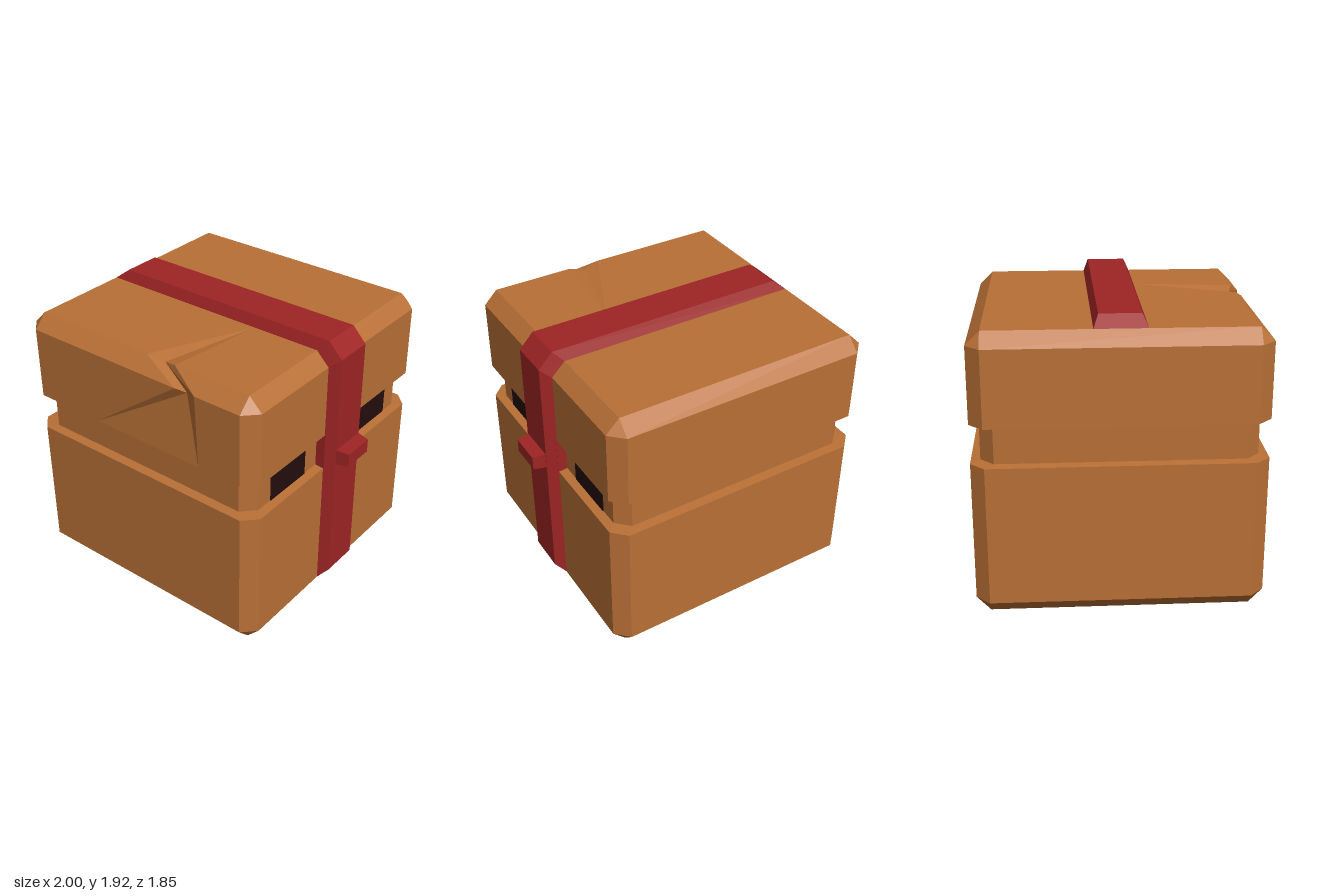
import * as THREE from 'three';

const cardboard = new THREE.MeshStandardMaterial({ color: 0xb97036 });
cardboard.name = 'cardboard brown';
const tape = new THREE.MeshStandardMaterial({ color: 0x9e2424 });
tape.name = 'tape red';
const dark = new THREE.MeshStandardMaterial({ color: 0x240e0e });
dark.name = 'eye dark';

const CX = -0.0775; // the box sits off centre, the nub fills the +x end

// Flat-shaded mesh from outward-facing convex polygons
function faceted(name, polygons, material) {
  const pos = [];
  for (const p of polygons) {
    for (let i = 1; i < p.length - 1; i++) {
      const tri = [p[0], p[i], p[i + 1]].map(v => new THREE.Vector3(...v));
      if (new THREE.Triangle(...tri).getArea() < 1e-7) continue;
      tri.forEach(v => pos.push(v.x, v.y, v.z));
    }
  }
  const g = new THREE.BufferGeometry();
  g.setAttribute('position', new THREE.Float32BufferAttribute(pos, 3));
  g.computeVertexNormals();
  const mesh = new THREE.Mesh(g, material);
  mesh.name = name;
  return mesh;
}

// Square with cut corners at height y; side 0 is the front
function ring(y, h, c) {
  const k = h - c;
  return [[-k, h], [k, h], [h, k], [h, -k], [k, -h], [-k, -h], [-h, -k], [-h, k]]
    .map(([x, z]) => [x + CX, y, z]);
}

function loft(rings, skipFrontFrom = Infinity) {
  const polys = [];
  for (let i = 0; i < rings.length - 1; i++) {
    for (let j = 0; j < 8; j++) {
      if (j === 0 && i >= skipFrontFrom) continue;
      const n = (j + 1) % 8;
      polys.push([rings[i][j], rings[i][n], rings[i + 1][n], rings[i + 1][j]]);
    }
  }
  return polys;
}

function box(name, size, at, material) {
  const mesh = new THREE.Mesh(new THREE.BoxGeometry(...size), material);
  mesh.position.set(...at);
  mesh.name = name;
  return mesh;
}

export function createModel() {
  const model = new THREE.Group();
  const H = 0.9225, C = 0.09, HI = 0.8625, CI = 0.085, HS = H - C;

  // Lower box with bevelled base
  const base = ring(0, HS, 0);
  const lower = loft([base, ring(0.095, H, C), ring(1.013, H, C), ring(1.02, HI, CI)]);
  lower.push([base[7], base[5], base[3], base[1]]);
  model.add(faceted('lowerBox', lower, cardboard));

  // Recessed band between box and lid
  model.add(faceted('recessedBand', loft([ring(1.02, HI, CI), ring(1.26, HI, CI)]), cardboard));

  // Lid: back and sides from rings, front and top around a dented crack
  const rim = ring(1.267, H, C), shoulder = ring(1.76, H, C), top = ring(1.85, HS, 0);
  const lid = loft([ring(1.26, HI, CI), rim, shoulder, top], 1);
  const [A, B] = rim, [D, E] = shoulder;
  const TL = top[0], TR = top[1], BR = top[3], BL = top[5];
  const M = [-0.4, 1.267, H], P = [0.44, 1.267, H];        // along the rim
  const Q = [0.34, 1.74, 0.89], R = [0.42, 1.76, H];       // crack on the front
  const S = [0.27, 1.76, H], T = [-0.02, 1.85, HS];        // left lip of crack
  const U = [0.2, 1.85, HS], V = [0.1, 1.825, 0.805];      // right lip, deep point
  const K = [0.28, 1.85, 0.17];                            // end of the dent on top
  lid.push(
    [A, M, D], [M, P, Q], [M, Q, S], [M, S, D],            // front, left of crack
    [P, R, Q], [P, B, E], [P, E, R],                       // front, right of crack
    [D, S, T, TL], [R, E, TR, U],                          // front bevel
    [S, Q, V], [S, V, T], [Q, R, V], [R, U, V],            // crack walls
    [T, V, K], [V, U, K],                                  // dent on top
    [TL, T, K], [U, TR, K], [TR, BR, K], [BR, BL, K], [BL, TL, K],
  );
  model.add(faceted('lid', lid, cardboard));

  // Tape strap up the +x side and over the top
  const inner = [[0.845, 0.095], [0.845, 1.76], [0.755, 1.85], [-0.91, 1.85]];
  const outer = [[0.915, 0.175], [0.915, 1.82], [0.82, 1.92], [-0.82, 1.92]];
  const sections = inner.map((p, i) => [
    [...p, 0.165], [...outer[i], 0.132], [...outer[i], -0.132], [...p, -0.165],
  ]);
  const strap = [];
  for (let i = 0; i < 3; i++) {
    const a = sections[i], b = sections[i + 1];
    for (let j = 0; j < 3; j++) strap.push([a[j], a[j + 1], b[j + 1], b[j]]);
  }
  strap.push([...sections[0]].reverse(), sections[3]);
  model.add(faceted('tapeStrap', strap, tape));
  model.add(box('strapBacking', [0.07, 0.25, 0.33], [0.815, 1.14, 0], tape));

  // Tapered nub on the strap
  const nub = box('nub', [0.09, 0.11, 0.26], [0.955, 1.11, 0], tape);
  const p = nub.geometry.attributes.position;
  for (let i = 0; i < p.count; i++) {
    if (p.getX(i) > 0) p.setXYZ(i, p.getX(i), p.getY(i) * 0.84, p.getZ(i) * 0.85);
  }
  nub.geometry.computeVertexNormals();
  model.add(nub);

  // Dark eye slots on either side of the strap
  for (const s of [1, -1]) {
    model.add(box(s > 0 ? 'frontEye' : 'backEye', [0.008, 0.238, 0.36], [0.786, 1.14, s * 0.474], dark));
  }
  return model;
}
